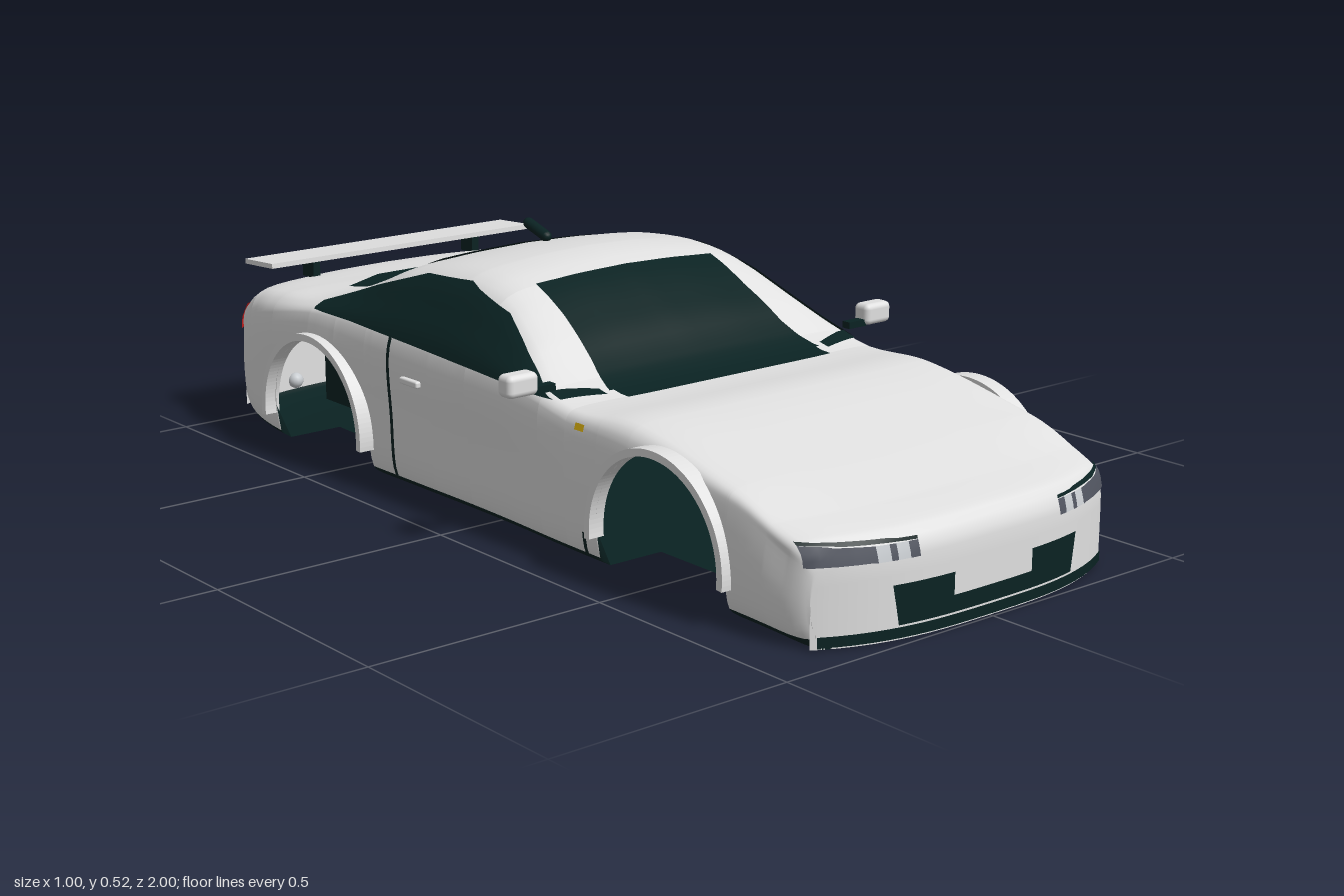
import * as THREE from 'three';
import { RoundedBoxGeometry } from 'three/addons/geometries/RoundedBoxGeometry.js';

const mat = (name, color) => {
  const m = new THREE.MeshStandardMaterial({ color, side: THREE.DoubleSide });
  m.name = name;
  return m;
};

// Stations along the car: z, bottom y, half width, belt x, belt y, shoulder x, shoulder y, top y
const END = .996;
const STATIONS = [
  [-END, .045, .375, .375, .20, .362, .255, .268],
  [-.985, .038, .388, .385, .225, .367, .274, .287],
  [-.92, .022, .405, .40, .27, .365, .315, .327],
  [-.75, .01, .415, .413, .30, .365, .338, .346],
  [-.6, .01, .415, .413, .325, .345, .352, .362],
  [-.5, .01, .412, .41, .328, .315, .388, .408],
  [-.37, .01, .408, .408, .322, .302, .437, .461],
  [-.17, .01, .404, .406, .315, .298, .457, .488],
  [-.04, .01, .402, .406, .312, .30, .442, .466],
  [.1, .01, .404, .406, .305, .332, .375, .392],
  [.2, .01, .408, .407, .292, .362, .318, .322],
  [.28, .01, .41, .405, .275, .37, .298, .298],
  [.46, .01, .41, .405, .265, .37, .303, .307],
  [.73, .01, .406, .40, .22, .375, .25, .256],
  [.89, .006, .402, .395, .185, .375, .21, .218],
  [.95, .002, .397, .39, .165, .375, .195, .206],
  [.985, 0, .387, .385, .15, .365, .178, .188],
  [END, .002, .374, .374, .125, .352, .145, .155],
];
const ARCH = { y: .09, r: .18, z: [.555, -.57] };
const FLOOR = .91;

// Smooth interpolation between stations
function station(z) {
  const T = STATIONS, n = T.length;
  let i = 0;
  while (i < n - 2 && z > T[i + 1][0]) i++;
  const a = T[i], b = T[i + 1], p = T[Math.max(i - 1, 0)], q = T[Math.min(i + 2, n - 1)];
  const h = b[0] - a[0], t = (z - a[0]) / h, t2 = t * t, t3 = t2 * t;
  return a.map((v, k) => {
    const ma = (b[k] - p[k]) / (b[0] - p[0]) * h, mb = (q[k] - a[k]) / (q[0] - a[0]) * h;
    return v * (2 * t3 - 3 * t2 + 1) + ma * (t3 - 2 * t2 + t) + b[k] * (3 * t2 - 2 * t3) + mb * (t3 - t2);
  });
}

// Rounds the nose and tail in plan
function bow(x, z) {
  const k = THREE.MathUtils.smoothstep(Math.abs(z), .72, 1) * (z > 0 ? .09 : .07);
  return z - Math.sign(z) * k * Math.pow(Math.abs(x) / .4, 3);
}

const archAt = z => {
  const c = ARCH.z.find(c => Math.abs(z - c) <= ARCH.r + 1e-6);
  return c === undefined ? -1 : ARCH.y + Math.sqrt(Math.max(0, ARCH.r ** 2 - (z - c) ** 2));
};

const SEG = 5, HALF = 7 * SEG;
// Half section from sill to roof centre, trimmed above the wheel arch
function section(z) {
  const [, bot, W, xB, yB, xS, yS, yT] = station(z);
  const curve = new THREE.CatmullRomCurve3([
    [W * FLOOR, bot], [W * .97, bot + .02], [W, bot + (yB - bot) * .5], [xB, yB],
    [(xB + xS) / 2 + .006, (yB + yS) / 2 + .006], [xS, yS], [xS * .55, yS + (yT - yS) * .75], [0, yT],
  ].map(p => new THREE.Vector3(p[0], p[1], 0)));
  const pts = [];
  for (let j = 0; j <= HALF; j++) pts.push(curve.getPoint(j / HALF));
  const arch = archAt(z), k = pts.findIndex(p => p.y >= arch);
  if (k > 0) {
    const edge = pts[k - 1].clone().lerp(pts[k], (arch - pts[k - 1].y) / (pts[k].y - pts[k - 1].y));
    for (let j = 0; j < k; j++) pts[j].copy(edge);
  }
  const left = pts.slice(0, HALF).reverse().map(p => new THREE.Vector3(-p.x, p.y, 0));
  return [...pts, ...left];
}

// Grid of rows of points; isDark picks the second material per quad
function loft(rows, materials, isDark) {
  const n = rows[0].length, light = [], dark = [];
  for (let i = 0; i < rows.length - 1; i++) for (let j = 0; j < n - 1; j++) {
    const a = i * n + j, b = a + n;
    (isDark && isDark(i, j) ? dark : light).push(a, a + 1, b, b, a + 1, b + 1);
  }
  const g = new THREE.BufferGeometry().setFromPoints(rows.flat());
  g.setIndex([...light, ...dark]);
  g.addGroup(0, light.length, 0);
  if (dark.length) g.addGroup(light.length, dark.length, 1);
  g.computeVertexNormals();
  return new THREE.Mesh(g, materials);
}

export function createModel() {
  const car = new THREE.Group();
  const paint = mat('body paint', 0xe0e0e0), black = mat('dark glass and trim', 0x0a2222);
  const slate = mat('headlight grey', 0x50545f), red = mat('tail light red', 0xc81e1e);
  const yellow = mat('amber yellow', 0xdcb210), lamp = mat('lamp grey', 0xc8ccd0);
  const add = (name, mesh) => { mesh.name = name; car.add(mesh); return mesh; };
  const box = (name, m, w, h, d, x, y, z, r = 0) => {
    const g = r ? new RoundedBoxGeometry(w, h, d, 3, r) : new THREE.BoxGeometry(w, h, d);
    const b = add(name, new THREE.Mesh(g, m));
    b.position.set(x, y, z);
    return b;
  };

  // Station positions: even spacing, denser around arches and ends
  const zs = STATIONS.map(s => s[0]);
  for (let z = -.96; z < .97; z += .04) if (archAt(z) < 0) zs.push(z);
  for (const c of ARCH.z) {
    for (let k = 0; k <= 24; k++) zs.push(c + ARCH.r * Math.cos(Math.PI * k / 24));
    zs.push(c + ARCH.r + .0005, c - ARCH.r - .0005);
  }
  zs.push(-.992, -.95, .992, .97);
  zs.sort((a, b) => a - b);

  // Body shell with closed nose and tail
  const place = (p, z) => new THREE.Vector3(p.x, p.y, bow(p.x, z));
  const rows = zs.map(z => section(z).map(p => place(p, z)));
  const CAP = 5;
  const cap = (z, f) => {
    const bot = station(z)[1];
    return section(z).map(p => place({ x: p.x, y: bot + (p.y - bot) * (1 - f) }, z));
  };
  for (let k = 1; k <= CAP; k++) {
    rows.unshift(cap(-END, k / CAP));
    rows.push(cap(END, k / CAP));
  }
  const body = add('body shell', loft(rows, [paint, black], (i, j) => j < SEG || j >= 2 * HALF - SEG));

  // Floor with wheel notches
  add('floor', loft(zs.map(z => {
    const s = station(z), w = archAt(z) > 0 ? .25 : s[2] * FLOOR;
    return Array.from({ length: 13 }, (_, k) => place({ x: w * (k / 6 - 1), y: s[1] }, z));
  }), [black]));
  box('rear axle housing', black, .64, .18, .30, 0, .19, -.54);

  // Thin panel between two outlines, laid on the body along an axis
  const ray = new THREE.Raycaster();
  function panel(name, m, axis, sign, a, b, nu = 8, nv = 3) {
    const dir = new THREE.Vector3();
    dir[axis] = -sign;
    const at = (line, t) => {
      const f = t * (line.length - 1), i = Math.min(Math.floor(f), line.length - 2);
      return [0, 1].map(k => THREE.MathUtils.lerp(line[i][k], line[i + 1][k], f - i));
    };
    // Nudges inward until the body is met, also stepping off exact mesh edges
    const drop = (u, v) => {
      for (let k = 0; k < 40; k++) {
        const o = axis === 'x' ? new THREE.Vector3(2 * sign, v, u)
          : axis === 'y' ? new THREE.Vector3(u, 2, v) : new THREE.Vector3(u, v, 2 * sign);
        ray.set(o, dir);
        const hit = ray.intersectObject(body)[0];
        if (hit) {
          const n = hit.face.normal.clone();
          return hit.point.addScaledVector(n, n.dot(dir) > 0 ? -.004 : .004);
        }
        u = u * .995 + .0003;
        v += axis === 'y' ? .0002 : (.15 - v) * .01;
      }
      throw new Error(name + ' misses the body');
    };
    const grid = [];
    for (let i = 0; i <= nv; i++) {
      grid.push([]);
      for (let j = 0; j <= nu; j++) {
        const p = at(a, j / nu), q = at(b, j / nu), t = i / nv;
        grid[i].push(drop(p[0] + (q[0] - p[0]) * t, p[1] + (q[1] - p[1]) * t));
      }
    }
    add(name, loft(grid, [m]));
  }
  const rect = (name, m, axis, sign, u0, u1, v0, v1, nu, nv) =>
    panel(name, m, axis, sign, [[u0, v0], [u1, v0]], [[u0, v1], [u1, v1]], nu, nv);

  // Glass
  panel('windscreen', black, 'y', 1, [[-.23, -.04], [-.235, .06], [-.25, .16], [-.275, .25]],
    [[.23, -.04], [.235, .06], [.25, .16], [.275, .25]], 18, 18);
  rect('cowl', black, 'y', 1, -.265, .265, .25, .295, 12, 2);
  panel('rear window', black, 'y', 1, [[-.2, -.4], [-.235, -.5], [-.265, -.6], [-.27, -.66], [-.15, -.73]],
    [[.2, -.4], [.235, -.5], [.265, -.6], [.27, -.66], [.15, -.73]], 20, 16);

  // Parts on both sides
  for (const s of [1, -1]) {
    panel('side window', black, 'x', s,
      [[.23, .302], [.1, .31], [0, .315], [-.15, .321], [-.3, .327], [-.45, .333], [-.585, .334]],
      [[.21, .306], [.1, .364], [0, .418], [-.15, .454], [-.3, .445], [-.45, .398], [-.585, .348]], 24, 8);
    panel('cowl corner', black, 'y', 1, [[s * .29, .235], [s * .385, .205]], [[s * .29, .262], [s * .385, .24]], 4, 2);
    rect('door seam', black, 'x', s, -.304, -.294, .03, .33, 1, 14);
    rect('sill mark', black, 'x', s, .337, .347, .03, .075, 1, 3);
    rect('side indicator', yellow, 'x', s, .312, .338, .268, .28, 2, 1);
    box('door handle', paint, .016, .014, .062, s * .414, .25, -.22, .004);
    box('mirror', paint, .072, .045, .042, s * .464, .344, .212, .012);
    box('mirror arm', black, .05, .014, .02, s * .41, .328, .215);

    // Wheel arch flares
    ARCH.z.forEach((c, k) => {
      const shape = new THREE.Shape();
      shape.absarc(0, 0, .195, -.1, Math.PI + .1, false);
      shape.absarc(0, 0, .18, Math.PI + .1, -.1, true);
      const g = new THREE.ExtrudeGeometry(shape, { depth: .035, bevelEnabled: false, curveSegments: 32 });
      g.translate(0, 0, -.0175).rotateY(-Math.PI / 2);
      add('wheel arch flare', new THREE.Mesh(g, paint)).position.set(s * (k ? .422 : .408), ARCH.y, c);
    });

    // Headlights: two lamps inboard, grey lens outboard, dark rim on top
    [[.18, .2, slate], [.2, .225, lamp], [.225, .238, slate], [.238, .264, lamp], [.264, .382, slate]]
      .forEach(([x0, x1, m]) => panel('headlight', m, 'z', 1, [[s * x0, .15], [s * x1, .15]],
        [[s * x0, .177], [s * x1, .177 + (x1 > .3 ? .007 : 0)]], x1 > .3 ? 10 : 2, 3));
    panel('headlight rim', black, 'z', 1, [[s * .18, .178], [s * .382, .184]],
      [[s * .18, .184], [s * .382, .189]], 10, 1);
    panel('front intake', black, 'z', 1, [[s * .1, .03], [s * .222, .03]],
      [[s * .1, .105], [s * .235, .105]], 6, 6);

    // Tail lights, rear lamps and wing posts
    panel('tail light', red, 'z', -1, [[s * .19, .222], [s * .384, .226]],
      [[s * .19, .262], [s * .384, .28]], 12, 4);
    const r = add('rear lamp', new THREE.Mesh(new THREE.SphereGeometry(.018, 14, 10), lamp));
    r.position.set(s * .22, .066, -.98);
    box('wing post', black, .018, .045, .045, s * .22, .35, -.895);
  }
  rect('front intake centre', black, 'z', 1, -.1, .1, .03, .062, 6, 3);
  rect('front lip', black, 'z', 1, -.365, .365, .006, .026, 24, 2);
  rect('number plate', yellow, 'z', -1, -.105, .105, .138, .222, 6, 4);
  rect('rear bumper insert', black, 'z', -1, -.26, .26, .047, .082, 12, 3);

  // Rear wing and roof aerial
  box('rear wing', paint, .71, .011, .115, 0, .374, -.898).rotation.x = -.06;
  const aerial = add('roof aerial', new THREE.Mesh(new THREE.CapsuleGeometry(.012, .065, 4, 12), black));
  aerial.position.set(0, .494, -.337);
  aerial.rotation.x = -Math.PI / 2 + .3;
  return car;
}
